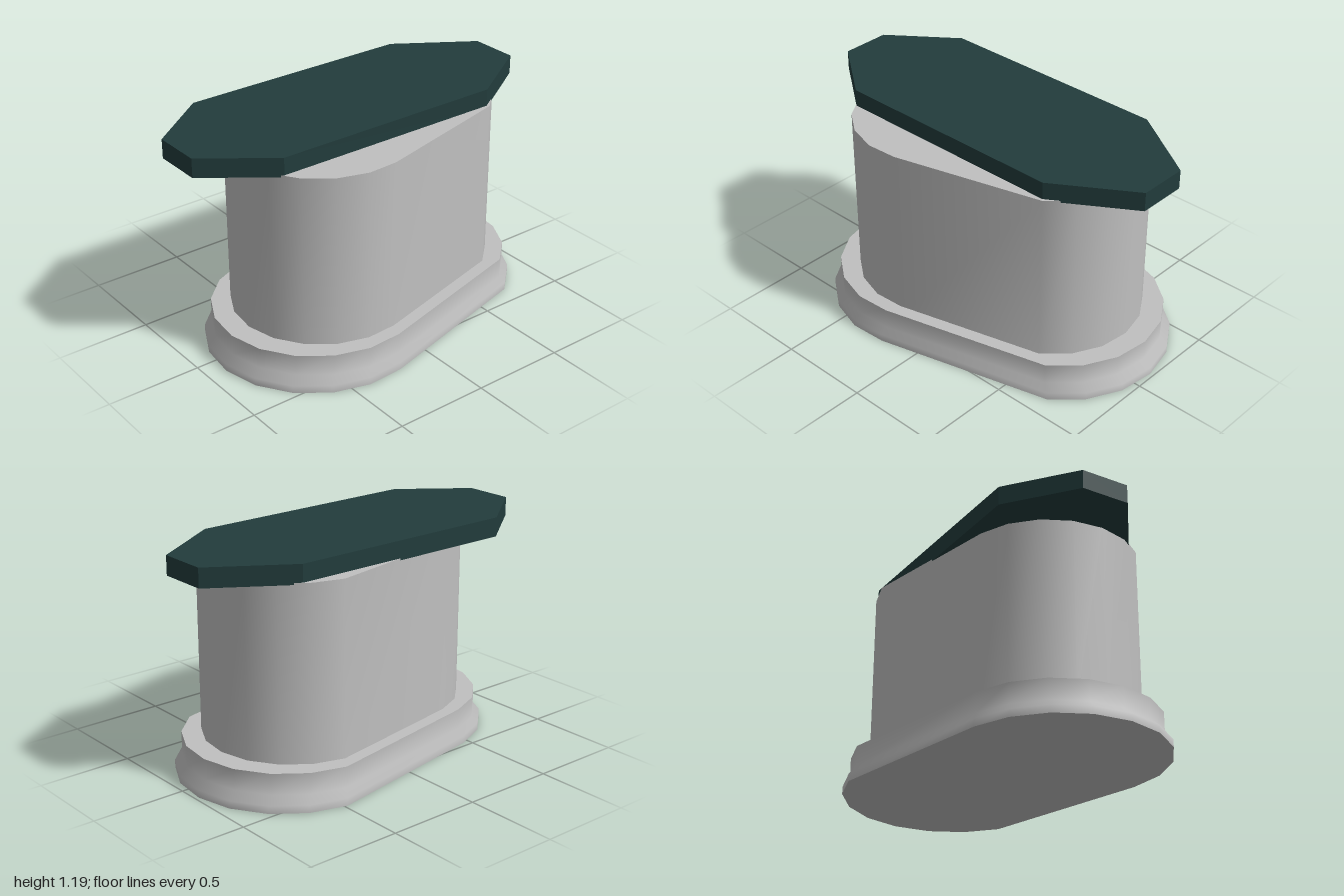
import * as THREE from 'three';
import { toCreasedNormals } from 'three/addons/utils/BufferGeometryUtils.js';

// Slanted oval outline: an 18-sided circle cut in two and pulled apart
const CX = 0.04;
const outline = [];
for (let i = 0; i < 18; i++) {
  const a = THREE.MathUtils.degToRad(-83 + 20 * i);
  const side = i < 8 ? 1 : -1;
  outline.push([0.376 * side + 0.565 * Math.cos(a), -0.082 * side + 0.565 * Math.sin(a)]);
}

// Stacks scaled copies of the outline; profile is [scale, y], scale 0 closes a cap
function loft(profile) {
  const pos = [];
  const n = outline.length;
  const point = (i, [s, y]) => [CX + outline[i % n][0] * s, y, outline[i % n][1] * s];
  for (let k = 0; k < profile.length - 1; k++) {
    const lo = profile[k], hi = profile[k + 1];
    for (let i = 0; i < n; i++) {
      const a = point(i, lo), b = point(i, hi), c = point(i + 1, hi), d = point(i + 1, lo);
      if (lo[0] > 0) pos.push(...a, ...b, ...d);
      if (hi[0] > 0) pos.push(...b, ...c, ...d);
    }
  }
  const geo = new THREE.BufferGeometry();
  geo.setAttribute('position', new THREE.Float32BufferAttribute(pos, 3));
  return toCreasedNormals(geo, 0.95);
}

export function createModel() {
  const group = new THREE.Group();
  const stone = new THREE.MeshStandardMaterial({ name: 'pale grey', color: 0xc0c0c0 });
  const slate = new THREE.MeshStandardMaterial({ name: 'dark teal', color: 0x223c3c });

  const add = (name, geometry, material) => {
    const mesh = new THREE.Mesh(geometry, material);
    mesh.name = name;
    group.add(mesh);
    return mesh;
  };

  // Plinth with a flared foot
  add('plinth', loft([[0, 0], [1, 0], [1, 0.04], [0.955, 0.08], [0.955, 0.19], [0, 0.19]]), stone);

  // Pedestal, sunk slightly into the plinth
  add('pedestal', loft([[0, 0.12], [0.834, 0.12], [0.834, 1.1], [0, 1.1]]), stone);

  // Eight-sided top slab; shape y is -z once laid flat
  const top = new THREE.Shape([
    [-1, -0.06], [-0.66, -0.315], [0.6, -0.315], [1, -0.06],
    [1, 0.2], [0.6, 0.46], [-0.66, 0.46], [-1, 0.2],
  ].map(([x, y]) => new THREE.Vector2(x, y)));
  const slab = new THREE.ExtrudeGeometry(top, { depth: 0.1, bevelEnabled: false });
  slab.rotateX(-Math.PI / 2);
  add('tableTop', slab, slate).position.y = 1.09;

  return group;
}
